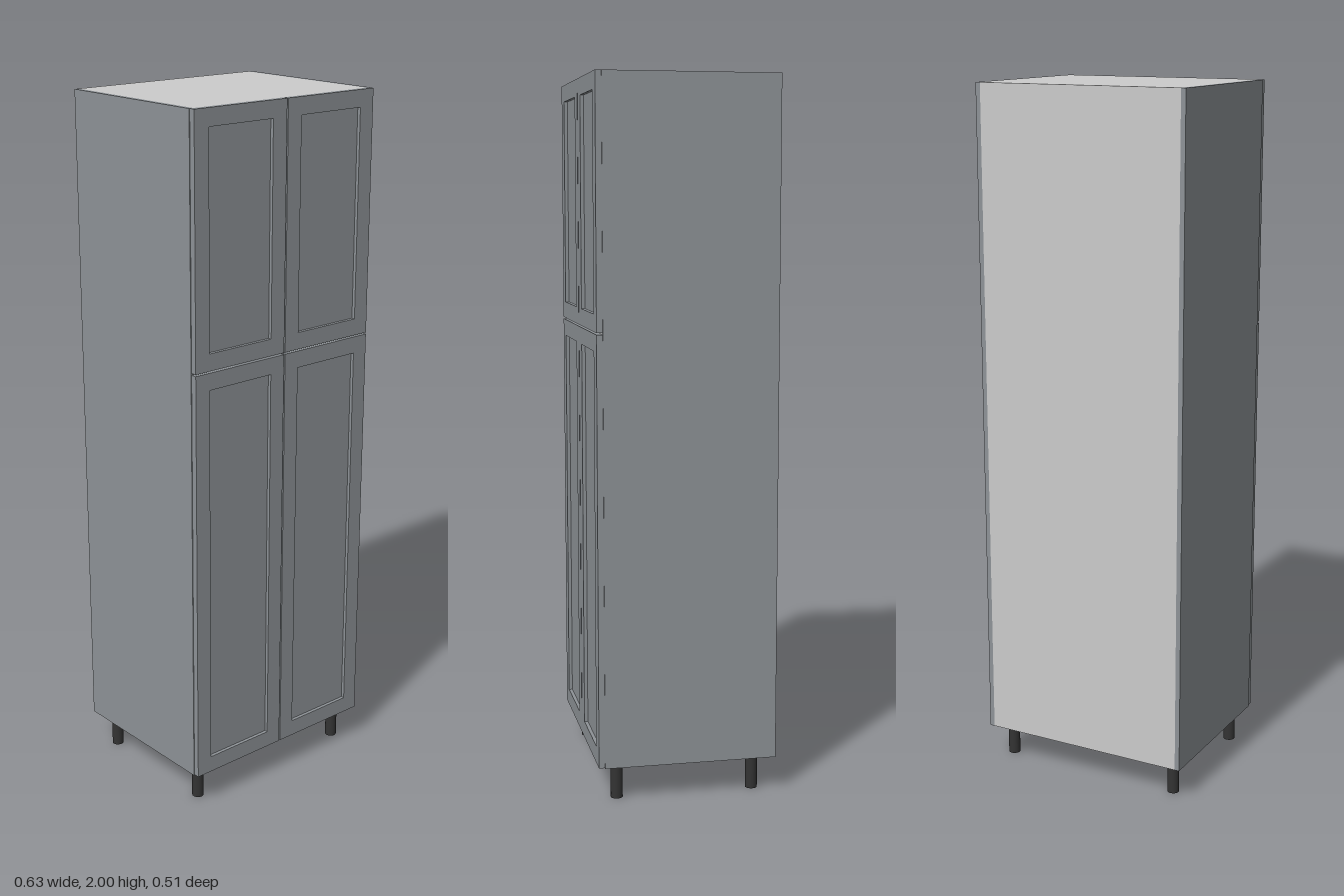
import * as THREE from 'three';

const paint = new THREE.MeshStandardMaterial({ color: 0x8e9397 });
const board = new THREE.MeshStandardMaterial({ color: 0xcccccc });
const dark = new THREE.MeshStandardMaterial({ color: 0x333333 });

// Box given by its minimum and maximum corners
function box(name, material, [x0, y0, z0], [x1, y1, z1]) {
  const mesh = new THREE.Mesh(new THREE.BoxGeometry(x1 - x0, y1 - y0, z1 - z0), material);
  mesh.position.set((x0 + x1) / 2, (y0 + y1) / 2, (z0 + z1) / 2);
  mesh.name = name;
  return mesh;
}

// Framed door with a recessed centre panel
function door(name, x0, x1, y0, y1) {
  const group = new THREE.Group();
  group.name = name;
  const rail = 0.048, back = 0.235, front = 0.252, recess = 0.01;
  const frame = new THREE.Shape([
    new THREE.Vector2(x0, y0), new THREE.Vector2(x1, y0),
    new THREE.Vector2(x1, y1), new THREE.Vector2(x0, y1)]);
  frame.holes.push(new THREE.Path([
    new THREE.Vector2(x0 + rail, y0 + rail), new THREE.Vector2(x0 + rail, y1 - rail),
    new THREE.Vector2(x1 - rail, y1 - rail), new THREE.Vector2(x1 - rail, y0 + rail)]));
  const geometry = new THREE.ExtrudeGeometry(frame, { depth: front - back, bevelEnabled: false });
  geometry.translate(0, 0, back);
  const mesh = new THREE.Mesh(geometry, paint);
  mesh.name = 'doorFrame';
  group.add(mesh, box('doorPanel', paint,
    [x0 + rail, y0 + rail, back], [x1 - rail, y1 - rail, front - recess]));
  return group;
}

export function createModel() {
  const model = new THREE.Group();
  model.name = 'tallCabinet';
  const bottom = 0.1, top = 2, back = -0.254, front = 0.235, outer = 0.317, inner = 0.303, t = 0.016;

  // Carcass boards between the side panels
  model.add(
    box('topPanel', board, [-inner, top - t, back + 0.006], [inner, top, front]),
    box('bottomPanel', board, [-inner, bottom, back + 0.006], [inner, bottom + t, front]),
    box('backPanel', board, [-inner, bottom, back], [inner, top, back + 0.006]),
    box('fixedShelf', board, [-inner, 1.3, back + 0.006], [inner, 1.3 + t, front]));

  for (const [side, s] of [['left', 1], ['right', -1]]) {
    // Side panels
    const [x0, x1] = s > 0 ? [inner, outer] : [-outer, -inner];
    model.add(box(side + 'SidePanel', paint, [x0, bottom, back], [x1, top, front]));

    // Upper and lower doors
    const [d0, d1] = s > 0 ? [0.002, 0.315] : [-0.315, -0.002];
    model.add(
      door(side + 'UpperDoor', d0, d1, 1.312, 2),
      door(side + 'LowerDoor', d0, d1, 0.102, 1.307));

    // Round legs
    for (const [end, z] of [['Front', 0.195], ['Back', -0.195]]) {
      const leg = new THREE.Mesh(new THREE.CylinderGeometry(0.017, 0.017, bottom, 24), dark);
      leg.position.set(s * 0.27, bottom / 2, z);
      leg.name = side + end + 'Leg';
      model.add(leg);
    }
  }
  return model;
}
